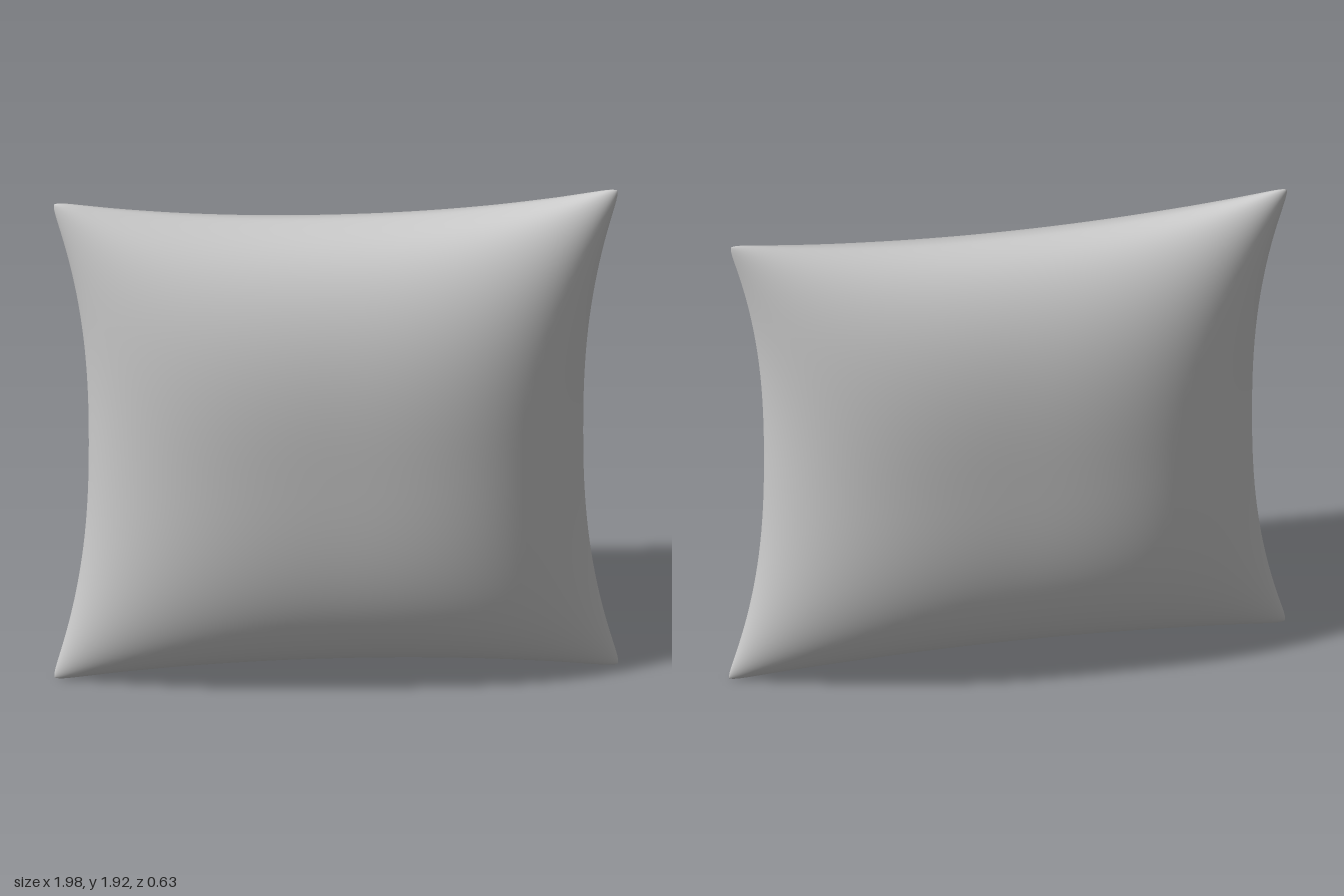
import * as THREE from 'three';
import { mergeVertices, mergeGeometries } from 'three/addons/utils/BufferGeometryUtils.js';

// Puffiness from the middle (1) to the seam (0)
const puff = (t) => Math.pow(Math.max(0, 1 - Math.pow(Math.abs(t), 3)), 0.6);

// One half of the cushion: side = 1 for the front, -1 for the back
function cushionHalf(side) {
  const geo = new THREE.PlaneGeometry(2, 2, 56, 56);
  if (side < 0) geo.rotateY(Math.PI);
  geo.deleteAttribute('uv');
  geo.deleteAttribute('normal');
  const pos = geo.attributes.position;
  for (let i = 0; i < pos.count; i++) {
    // Rows crowd towards the seam, where the cloth curves most
    const u = Math.sin(pos.getX(i) * Math.PI / 2);
    const v = Math.sin(pos.getY(i) * Math.PI / 2);
    const a = Math.abs(u), b = Math.abs(v);
    const tip = 1 - 0.016 * Math.pow(a * b, 30); // rounds the corner tips
    // Edges bow inwards between the four drawn-out corners
    const halfWidth = 0.868 + 0.137 * Math.pow(b, 2.4);
    const halfHeight = 0.879 + (v > 0 ? 0.102 : 0.082) * Math.pow(a, 2.2);
    pos.setXYZ(i,
      u * halfWidth * tip,
      0.954 + v * halfHeight * tip,
      side * 0.315 * puff(u) * puff(v) - 0.02 * v * v * v);
  }
  return geo;
}

export function createModel() {
  const group = new THREE.Group();
  group.name = 'pillow';
  const cloth = new THREE.MeshStandardMaterial({ color: 0xcccccc });
  cloth.name = 'grey cloth';

  // Weld both halves along the seam so the shading stays smooth
  const geo = mergeVertices(mergeGeometries([cushionHalf(1), cushionHalf(-1)]), 1e-5);
  geo.computeVertexNormals();
  const cushion = new THREE.Mesh(geo, cloth);
  cushion.name = 'cushion';
  group.add(cushion);
  return group;
}
